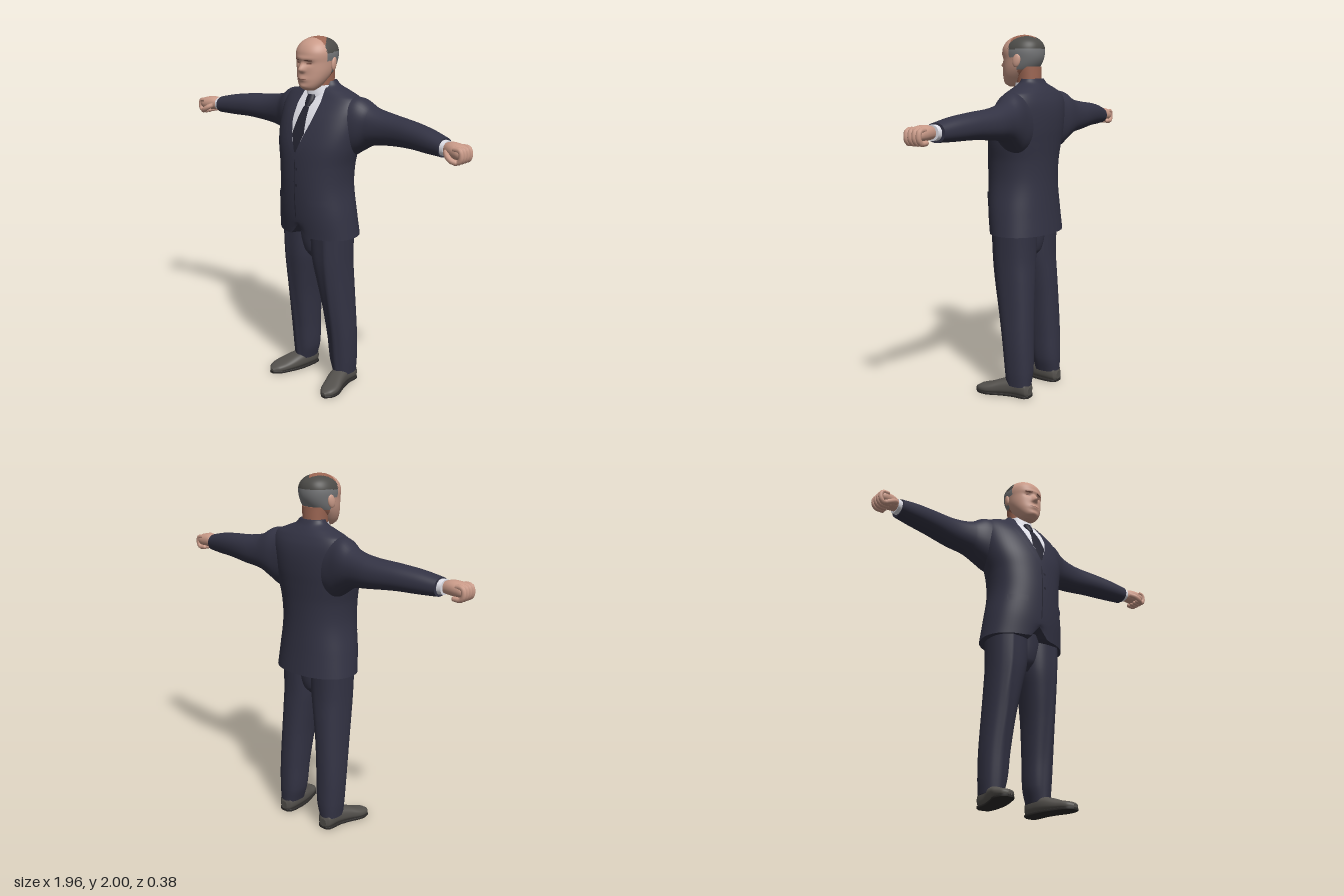
import * as THREE from 'three';

const mat = (name, color, side = THREE.FrontSide) => {
  const m = new THREE.MeshStandardMaterial({ color, side });
  m.name = name;
  return m;
};

// Smoothly interpolates a list of sections [t, u0, u1, v0, v1] at position t
function at(secs, t) {
  let i = 0;
  while (i < secs.length - 2 && t > secs[i + 1][0]) i++;
  const a = secs[i], b = secs[i + 1], p = secs[Math.max(0, i - 1)], q = secs[Math.min(secs.length - 1, i + 2)];
  const h = b[0] - a[0], s = Math.min(1, Math.max(0, (t - a[0]) / h)), s2 = s * s, s3 = s2 * s;
  return [1, 2, 3, 4].map((k) => {
    const ma = (b[k] - p[k]) / (b[0] - p[0]) * h, mb = (q[k] - a[k]) / (q[0] - a[0]) * h;
    return (2 * s3 - 3 * s2 + 1) * a[k] + (s3 - 2 * s2 + s) * ma + (3 * s2 - 2 * s3) * b[k] + (s3 - s2) * mb;
  });
}

// Closed skin over superellipse sections along an axis: x uses (y, z), y uses (z, x), z uses (x, y)
function loft(axis, secs, { n = 2.2, segs = 40, sub = 6, warp } = {}) {
  const ax = 'xyz'.indexOf(axis), pos = [], idx = [], rings = [];
  for (let i = 0; i < secs.length - 1; i++)
    for (let s = 0; s < sub; s++) rings.push(secs[i][0] + (secs[i + 1][0] - secs[i][0]) * s / sub);
  rings.push(secs[secs.length - 1][0]);
  const sp = (c) => Math.sign(c) * Math.abs(c) ** (2 / n);
  const add = (t, u, v) => {
    const p = new THREE.Vector3();
    p.setComponent(ax, t).setComponent((ax + 1) % 3, u).setComponent((ax + 2) % 3, v);
    if (warp) warp(p);
    pos.push(p.x, p.y, p.z);
  };
  const ring = (t) => {
    const [u0, u1, v0, v1] = at(secs, t);
    for (let j = 0; j < segs; j++) {
      const a = j / segs * Math.PI * 2;
      add(t, (u0 + u1) / 2 + (u1 - u0) / 2 * sp(Math.cos(a)), (v0 + v1) / 2 + (v1 - v0) / 2 * sp(Math.sin(a)));
    }
  };
  rings.forEach(ring);
  for (let i = 0; i < rings.length - 1; i++)
    for (let j = 0; j < segs; j++) {
      const a = i * segs + j, b = i * segs + (j + 1) % segs;
      idx.push(a, b, b + segs, a, b + segs, a + segs);
    }
  // end caps with their own ring, so the rim stays sharp
  [rings[0], rings[rings.length - 1]].forEach((t, end) => {
    const base = pos.length / 3, [u0, u1, v0, v1] = at(secs, t);
    ring(t);
    add(t, (u0 + u1) / 2, (v0 + v1) / 2);
    for (let j = 0; j < segs; j++) {
      const a = base + j, b = base + (j + 1) % segs;
      idx.push(base + segs, ...(end ? [a, b] : [b, a]));
    }
  });
  return build(pos, idx);
}

function build(pos, idx) {
  const g = new THREE.BufferGeometry();
  g.setAttribute('position', new THREE.Float32BufferAttribute(pos, 3));
  g.setIndex(idx);
  g.computeVertexNormals();
  return g;
}

// Thin plate lying on the front of an upright loft; rows are [y, xLeft, xRight], rising
function patch(secs, rows, offset, { n = 2.2, warp } = {}) {
  const pos = [], idx = [], cols = 10, sub = 8, lines = (rows.length - 1) * sub;
  for (let i = 0; i <= lines; i++) {
    const k = Math.min(rows.length - 2, Math.floor(i / sub)), f = i / sub - k;
    const [y, l, r] = rows[k].map((v, c) => v + (rows[k + 1][c] - v) * f);
    const [z0, z1, x0, x1] = at(secs, y);
    for (let j = 0; j <= cols; j++) {
      const x = l + (r - l) * j / cols, e = Math.min(1, Math.abs(x - (x0 + x1) / 2) / ((x1 - x0) / 2));
      const p = new THREE.Vector3(x, y, (z0 + z1) / 2 + (z1 - z0) / 2 * (1 - e ** n) ** (1 / n));
      if (warp) warp(p);
      pos.push(p.x, p.y, p.z + offset);
      if (i < lines && j < cols) {
        const a = i * (cols + 1) + j, b = a + cols + 1;
        idx.push(a, a + 1, b + 1, a, b + 1, b);
      }
    }
  }
  return build(pos, idx);
}

function mirrored(geo) {
  const g = geo.clone().scale(-1, 1, 1), ix = g.index.array;
  for (let i = 0; i < ix.length; i += 3) [ix[i], ix[i + 1]] = [ix[i + 1], ix[i]];
  g.computeVertexNormals();
  return g;
}

// Sorts triangles into one group per material by their centre
function paint(geo, pick) {
  const p = geo.attributes.position, ix = geo.index.array, lists = [];
  for (let i = 0; i < ix.length; i += 3) {
    const t = [ix[i], ix[i + 1], ix[i + 2]];
    const mean = (get) => t.reduce((s, v) => s + p[get](v), 0) / 3;
    (lists[pick(mean('getX'), mean('getY'), mean('getZ'))] ??= []).push(...t);
  }
  geo.setIndex(lists.flat());
  let start = 0;
  lists.forEach((l, m) => { geo.addGroup(start, l.length, m); start += l.length; });
  return geo;
}

const bump = (v, centre, width) => Math.exp(-(((v - centre) / width) ** 2));

export function createModel() {
  const model = new THREE.Group();
  const suit = mat('suit navy', 0x333344), dark = mat('tie dark navy', 0x252532);
  const shirt = mat('shirt white', 0xe0e0e8, THREE.DoubleSide), skin = mat('skin', 0xc99a88);
  const ruddy = mat('ruddy scalp', 0x9c6653), grey = mat('grey hair', 0x77787a);
  const charcoal = mat('dark hair', 0x4c4b48), leather = mat('shoe leather', 0x54514d);
  const sole = mat('sole', 0x2c2a29), feature = mat('brow and lip', 0x83594d);
  const add = (name, geo, m) => {
    const mesh = new THREE.Mesh(geo, m);
    mesh.name = name;
    model.add(mesh);
  };
  const pair = (name, geo, m) => {
    add('left' + name, geo, m);
    add('right' + name, mirrored(geo), m);
  };

  // Jacket body with cutaway front hem
  const torso = [
    [0.92, -0.185, 0.16, -0.25, 0.25], [1.05, -0.175, 0.178, -0.235, 0.235], [1.2, -0.168, 0.186, -0.215, 0.215],
    [1.32, -0.17, 0.183, -0.222, 0.222], [1.42, -0.178, 0.172, -0.245, 0.245], [1.5, -0.185, 0.15, -0.258, 0.258],
    [1.58, -0.185, 0.117, -0.262, 0.262], [1.64, -0.175, 0.08, -0.26, 0.26], [1.685, -0.155, 0.045, -0.235, 0.235],
    [1.715, -0.135, 0.025, -0.165, 0.165], [1.74, -0.115, 0.01, -0.1, 0.1], [1.765, -0.1, 0, -0.078, 0.078]];
  const hem = (p) => { if (p.z > 0.05 && p.y < 1) p.y += 0.07 * bump(p.x, 0, 0.035) * (1 - p.y) / 0.08; };
  add('jacketBody', loft('y', torso, { segs: 64, warp: hem }), suit);

  // Shirt front, tie, lapels, closure and pocket flaps
  add('shirtFront', patch(torso, [[1.45, -0.03, 0.03], [1.5, -0.05, 0.05], [1.56, -0.07, 0.07], [1.65, -0.08, 0.08], [1.735, -0.07, 0.07]], 0.004), shirt);
  add('tie', patch(torso, [[1.4, -0.005, 0.005], [1.5, -0.042, 0.042], [1.635, -0.02, 0.02]], 0.008), dark);
  add('tieKnot', loft('y', [[1.635, 0.05, 0.1, -0.018, 0.018], [1.665, 0.035, 0.085, -0.027, 0.027], [1.695, 0.02, 0.068, -0.024, 0.024]], { segs: 20 }), dark);
  pair('Lapel', patch(torso, [[1.36, 0, 0.004], [1.45, 0.025, 0.07], [1.5, 0.045, 0.095], [1.56, 0.066, 0.118], [1.61, 0.076, 0.138], [1.615, 0.077, 0.118], [1.66, 0.08, 0.118], [1.735, 0.066, 0.085]], 0.009), suit);
  add('frontClosure', patch(torso, [[1.03, -0.003, 0.003], [1.36, -0.003, 0.003]], 0.004), dark);
  pair('PocketFlap', patch(torso, [[1.115, 0.09, 0.19], [1.15, 0.09, 0.19]], 0.006), suit);
  for (const y of [1.22, 1.31]) add('button', patch(torso, [[y - 0.007, 0.01, 0.022], [y + 0.007, 0.01, 0.022]], 0.006), dark);
  add('shirtCollar', loft('y', [[1.65, -0.09, 0.055, -0.08, 0.08], [1.7, -0.092, 0.052, -0.076, 0.076], [1.745, -0.095, 0.042, -0.072, 0.072]]), shirt);

  // Sleeves, cuffs and fists
  pair('Sleeve', loft('x', [
    [0.13, 1.37, 1.695, -0.155, 0.05], [0.2, 1.37, 1.695, -0.16, 0.045], [0.26, 1.405, 1.69, -0.165, 0.03],
    [0.33, 1.445, 1.65, -0.166, 0.005], [0.45, 1.463, 1.626, -0.165, -0.008], [0.6, 1.475, 1.612, -0.14, 0.005],
    [0.72, 1.475, 1.596, -0.112, 0.02], [0.825, 1.477, 1.573, -0.083, 0.03]]), suit);
  pair('Cuff', loft('x', [[0.8, 1.485, 1.566, -0.07, 0.024], [0.848, 1.488, 1.564, -0.062, 0.024]], { sub: 1 }), shirt);
  pair('Hand', loft('x', [
    [0.835, 1.497, 1.555, -0.045, 0.015], [0.88, 1.49, 1.566, -0.052, 0.035], [0.93, 1.486, 1.562, -0.053, 0.047],
    [0.958, 1.492, 1.552, -0.046, 0.043], [0.968, 1.505, 1.535, -0.03, 0.03]], { segs: 24 }), skin);
  const tube = (pts, r) => new THREE.TubeGeometry(new THREE.CatmullRomCurve3(pts.map((p) => new THREE.Vector3(...p))), 14, r, 10);
  const tip = (p, r) => new THREE.SphereGeometry(r, 10, 8).translate(...p);
  for (const z of [-0.038, -0.013, 0.012, 0.036]) {
    const end = [0.912, 1.483, z];
    pair('Finger', tube([[0.92, 1.545, z], [0.957, 1.54, z], [0.965, 1.505, z], [0.95, 1.483, z], end], 0.0135), skin);
    pair('Fingertip', tip(end, 0.0135), skin);
  }
  pair('Thumb', tube([[0.865, 1.52, 0.022], [0.89, 1.506, 0.045], [0.915, 1.49, 0.05], [0.935, 1.482, 0.043]], 0.0145), skin);
  pair('ThumbTip', tip([0.935, 1.482, 0.043], 0.0145), skin);

  // Trousers with a pressed front crease
  const crease = (p) => { if (p.z > -0.03) p.z += 0.008 * bump(p.x, 0.155, 0.016); };
  pair('TrouserLeg', loft('y', [
    [0.065, -0.132, 0.012, 0.1, 0.212], [0.15, -0.137, 0.022, 0.077, 0.219], [0.3, -0.135, 0.038, 0.067, 0.222],
    [0.5, -0.13, 0.07, 0.05, 0.216], [0.65, -0.125, 0.095, 0.026, 0.213], [0.78, -0.12, 0.112, 0.002, 0.213],
    [0.96, -0.125, 0.12, -0.01, 0.218]], { segs: 48, n: 2.4, warp: crease }), suit);
  add('trouserSeat', loft('y', [[0.765, -0.05, 0.05, -0.02, 0.02], [0.82, -0.1, 0.09, -0.07, 0.07], [0.96, -0.12, 0.115, -0.12, 0.12]]), suit);

  // Shoes turned slightly outward
  const shoe = [
    [-0.136, 0.135, 0.18, 0.012, 0.06], [-0.12, 0.112, 0.2, 0.004, 0.09], [-0.04, 0.108, 0.207, 0.004, 0.102],
    [0.03, 0.118, 0.228, 0.004, 0.088], [0.1, 0.142, 0.255, 0.004, 0.062], [0.155, 0.167, 0.25, 0.005, 0.047], [0.183, 0.198, 0.225, 0.01, 0.03]];
  pair('Shoe', loft('z', shoe, { n: 2.5 }), leather);
  pair('Sole', loft('z', shoe.map(([z, a, b]) => [z, a - 0.001, b + 0.001, 0, 0.016]), { n: 6 }), sole);

  // Neck and head with brow, nose, lips and eye sockets
  add('neck', loft('y', [[1.64, -0.09, 0.04, -0.068, 0.068], [1.75, -0.092, 0.036, -0.068, 0.068], [1.83, -0.09, 0.04, -0.075, 0.075]]), ruddy);
  const skull = [
    [1.722, 0.045, 0.092, -0.032, 0.032], [1.738, 0.01, 0.117, -0.052, 0.052], [1.775, -0.03, 0.123, -0.076, 0.076],
    [1.82, -0.075, 0.122, -0.093, 0.093], [1.87, -0.103, 0.121, -0.101, 0.101], [1.92, -0.11, 0.123, -0.105, 0.105],
    [1.955, -0.1, 0.107, -0.092, 0.092], [1.98, -0.073, 0.078, -0.067, 0.067], [1.995, -0.035, 0.04, -0.032, 0.032], [2, -0.004, 0.008, -0.004, 0.004]];
  const face = (p) => {
    if (p.z < 0.04) return;
    const nose = p.y > 1.832 ? bump(p.y, 1.832, 0.032) : bump(p.y, 1.832, 0.01);
    p.z += 0.032 * nose * bump(p.x, 0, 0.016) + 0.007 * bump(p.y, 1.893, 0.012) * bump(p.x, 0, 0.06)
      + 0.008 * bump(p.y, 1.785, 0.014) * bump(p.x, 0, 0.03) + 0.005 * bump(p.y, 1.745, 0.012) * bump(p.x, 0, 0.025)
      - 0.009 * bump(p.y, 1.868, 0.013) * bump(Math.abs(p.x), 0.038, 0.02);
  };
  const headColour = (x, y, z) => {
    const ax = Math.abs(x);
    if (z > 0.04) return 0;
    if (y > 1.945) return ax < 0.085 * (z + 0.075) / 0.11 ? 1 : 3;
    if (z > -0.005) return y > 1.88 ? (y > 1.92 ? 3 : 2) : 0;
    return y > 1.925 ? 3 : y > 1.815 ? 2 : 1;
  };
  add('head', paint(loft('y', skull, { segs: 80, sub: 8, warp: face }), headColour), [skin, ruddy, grey, charcoal]);
  const opt = { warp: face };
  pair('Brow', patch(skull, [[1.881, 0.02, 0.056], [1.887, 0.016, 0.06]], 0.003, opt), feature);
  pair('Eye', patch(skull, [[1.864, 0.025, 0.05], [1.871, 0.024, 0.052]], 0.003, opt), feature);
  add('mouth', patch(skull, [[1.783, -0.03, 0.03], [1.787, -0.03, 0.03]], 0.003, opt), feature);
  pair('Ear', new THREE.SphereGeometry(1, 20, 14).scale(0.011, 0.036, 0.022).rotateX(-0.2).rotateY(0.25).translate(0.102, 1.862, -0.012), skin);

  return model;
}
